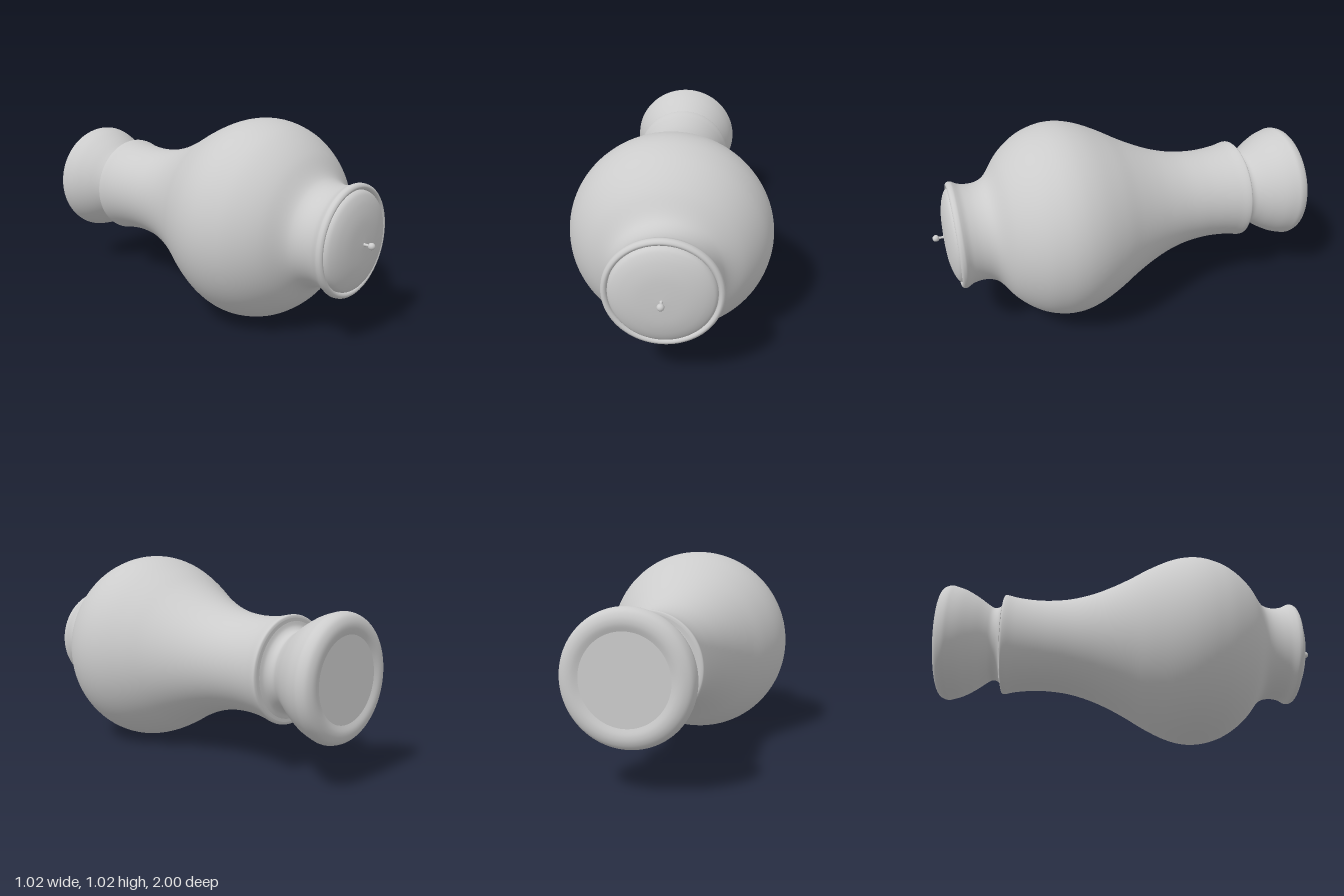
import * as THREE from 'three';

const AXIS_HEIGHT = 0.51;
const SIDES = 96;

// Lathe of [radius, position along the axis] points, ordered from -z to +z
function turned(name, points, material) {
  const geometry = new THREE.LatheGeometry(points, SIDES);
  geometry.rotateX(Math.PI / 2); // turning axis becomes z
  const mesh = new THREE.Mesh(geometry, material);
  mesh.name = name;
  return mesh;
}

// Smooth curve through a few profile points
function smooth(pairs, divisions) {
  const curve = new THREE.SplineCurve(pairs.map(([r, z]) => new THREE.Vector2(r, z)));
  return curve.getPoints(divisions);
}

export function createModel() {
  const model = new THREE.Group();
  model.name = 'vase';
  const grey = new THREE.MeshStandardMaterial({ color: 0xcccccc, side: THREE.DoubleSide });

  // Foot: rounded rim narrowing to a waist, then flaring under the body
  model.add(turned('foot', smooth([
    [0.205, -0.99], [0.235, -1], [0.265, -0.998], [0.292, -0.982], [0.305, -0.95],
    [0.3, -0.92], [0.283, -0.87], [0.25, -0.81], [0.212, -0.755], [0.195, -0.725],
    [0.197, -0.7], [0.212, -0.682], [0.235, -0.675],
  ], 60), grey));

  // Flat underside of the foot
  const base = new THREE.Mesh(new THREE.CircleGeometry(0.205, SIDES), grey);
  base.name = 'footBase';
  base.rotation.y = Math.PI;
  base.position.z = -0.99;
  model.add(base);

  // Body: lipped stem, round belly, short collar
  model.add(turned('body', [
    new THREE.Vector2(0.19, -0.672),
    ...smooth([
      [0.25, -0.672], [0.264, -0.667], [0.265, -0.65], [0.254, -0.6], [0.245, -0.52],
      [0.244, -0.43], [0.256, -0.32], [0.285, -0.21], [0.325, -0.11], [0.375, -0.01],
      [0.432, 0.09], [0.479, 0.19], [0.503, 0.27], [0.51, 0.34], [0.502, 0.41],
      [0.476, 0.49], [0.43, 0.565], [0.37, 0.63], [0.29, 0.69], [0.26, 0.73],
      [0.25, 0.78], [0.256, 0.83], [0.27, 0.86],
    ], 110),
  ], grey));

  // Rolled lip round the mouth
  model.add(turned('lip', smooth([
    [0.27, 0.86], [0.275, 0.872], [0.272, 0.888], [0.26, 0.896], [0.248, 0.89], [0.245, 0.875],
  ], 24), grey));

  // Domed lid
  model.add(turned('lid', smooth([
    [0.245, 0.875], [0.242, 0.892], [0.225, 0.909], [0.18, 0.927], [0.11, 0.94], [0, 0.945],
  ], 30), grey));

  // Small knob on a thin stem
  model.add(turned('knobStem', smooth([
    [0.009, 0.94], [0.006, 0.955], [0.007, 0.975],
  ], 8), grey));
  const knob = new THREE.Mesh(new THREE.SphereGeometry(0.017, 24, 16), grey);
  knob.name = 'knob';
  knob.position.z = 0.983;
  model.add(knob);

  model.children.forEach((part) => { part.position.y = AXIS_HEIGHT; });
  return model;
}
